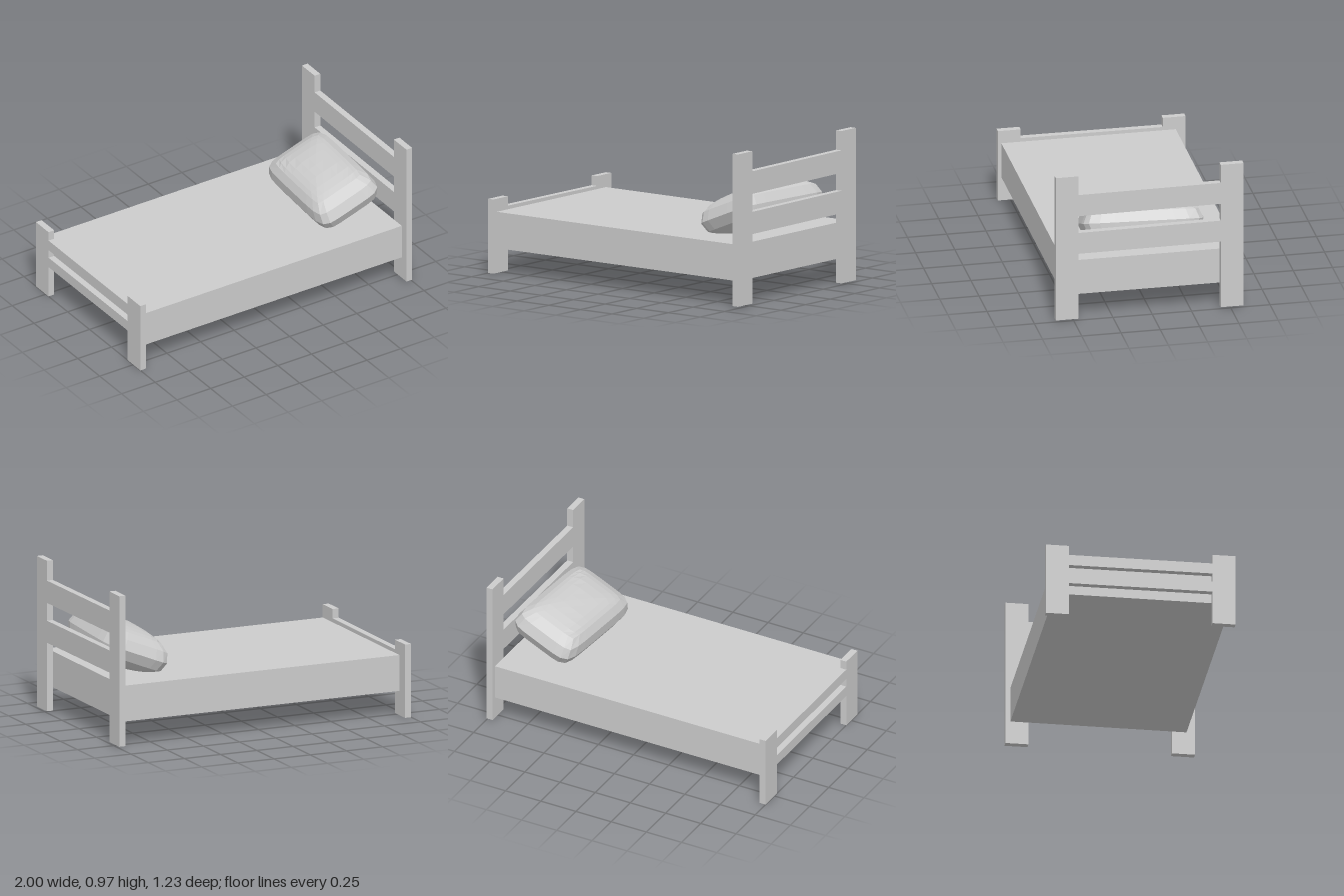
import * as THREE from 'three';
import { mergeVertices } from 'three/addons/utils/BufferGeometryUtils.js';

const THICK = 0.042; // board thickness

// Two posts joined by two slightly sloping rails, drawn in the YZ plane
function boardGeometry() {
  const outer = 0.5975, inner = 0.4525, top = 0.965;
  const shape = new THREE.Shape([
    [-outer, 0], [-inner, 0], [-inner, 0.44], [inner, 0.445],
    [inner, 0], [outer, 0], [outer, top], [inner, top],
    [inner, 0.843], [-inner, 0.838], [-inner, top], [-outer, top],
  ].map(([x, y]) => new THREE.Vector2(x, y)));
  // gap between the rails
  shape.holes.push(new THREE.Path([
    [-inner, 0.581], [-inner, 0.695], [inner, 0.701], [inner, 0.587],
  ].map(([x, y]) => new THREE.Vector2(x, y))));
  return new THREE.ExtrudeGeometry(shape, { depth: THICK, bevelEnabled: false });
}

// Cushion: a cube rounded to a squarish plan with a bulging thickness
function pillowGeometry(halfX, halfY, halfZ) {
  let geo = new THREE.BoxGeometry(2, 2, 2, 8, 4, 8);
  geo.deleteAttribute('normal');
  geo.deleteAttribute('uv');
  geo = mergeVertices(geo);
  const pos = geo.attributes.position;
  const p = new THREE.Vector3();
  for (let i = 0; i < pos.count; i++) {
    p.fromBufferAttribute(pos, i);
    const plan = Math.pow(Math.abs(p.x) ** 7 + Math.abs(p.z) ** 7, 1 / 7);
    const k = Math.pow(plan ** 2.3 + Math.abs(p.y) ** 2.3, -1 / 2.3);
    pos.setXYZ(i, p.x * k * halfX, p.y * k * halfY, p.z * k * halfZ);
  }
  geo.computeVertexNormals();
  return geo;
}

export function createModel() {
  const bed = new THREE.Group();
  bed.name = 'bed';
  const material = new THREE.MeshStandardMaterial({ color: 0xcccccc, flatShading: true });
  const add = (name, geometry, x, y, z) => {
    const mesh = new THREE.Mesh(geometry, material);
    mesh.name = name;
    mesh.position.set(x, y, z);
    bed.add(mesh);
    return mesh;
  };

  // Headboard, and the same board turned round and lowered for the foot
  const board = boardGeometry();
  add('headboard', board, 1 - THICK, 0.01, 0.0165).rotation.y = Math.PI / 2;
  const foot = add('footboard', board, THICK - 1, 0, -0.0165);
  foot.rotation.y = -Math.PI / 2;
  foot.scale.y = 0.487;

  // Mattress
  add('mattress', new THREE.BoxGeometry(1.908, 0.23, 1.11), 0.004, 0.275, 0.005);

  // Pillow leaning on the headboard
  const pillow = add('pillow', pillowGeometry(0.23, 0.14, 0.385), 0.724, 0.524, 0.02);
  pillow.rotation.set(0, -0.07, 0.38, 'YZX');

  return bed;
}
